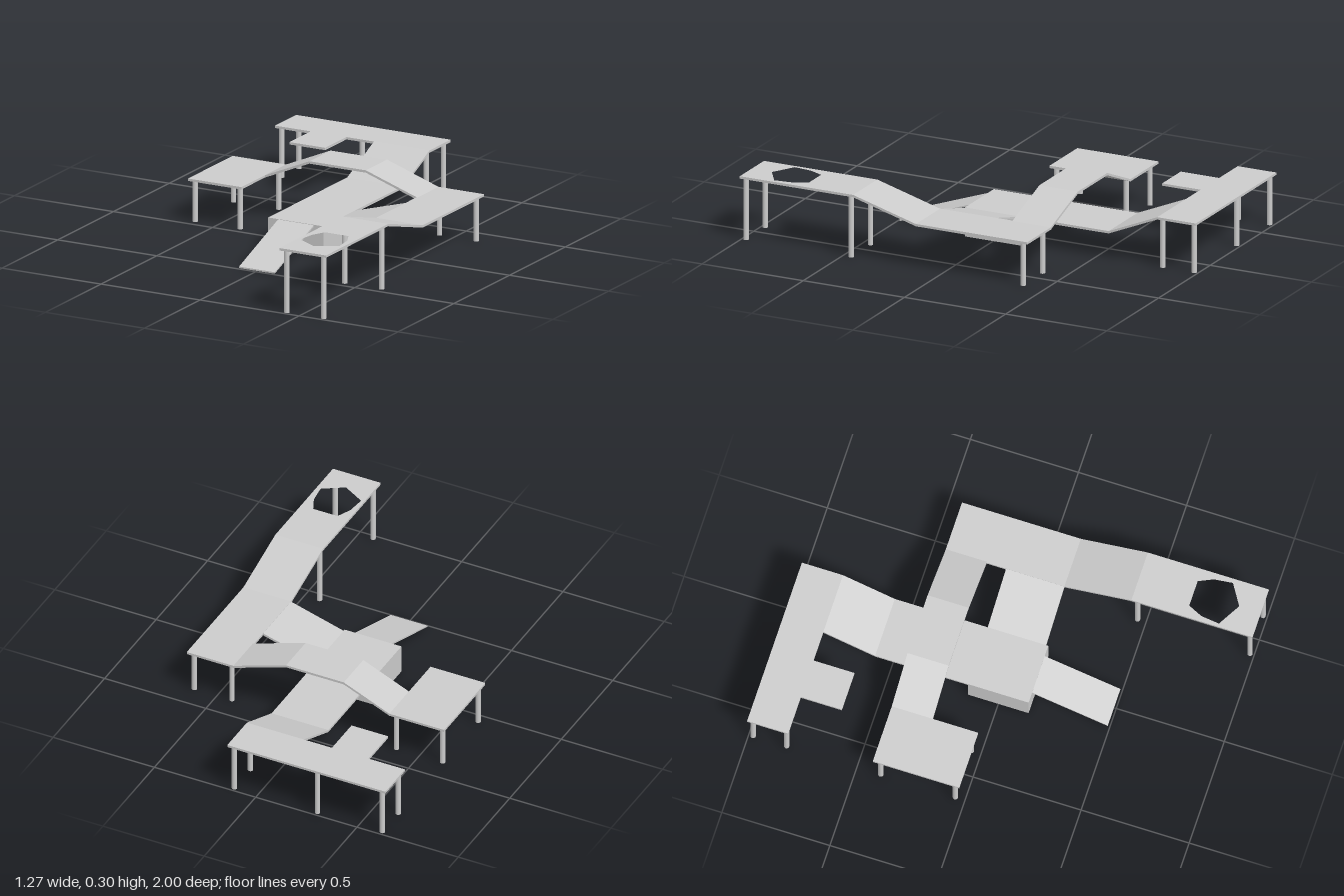
import * as THREE from 'three';

const T = 0.011; // slab thickness

export function createModel() {
  const group = new THREE.Group();
  const material = new THREE.MeshStandardMaterial({ color: 0xcccccc });

  function add(name, geometry) {
    const mesh = new THREE.Mesh(geometry, material);
    mesh.name = name;
    group.add(mesh);
    return mesh;
  }

  // Bent slab: path of [distance, top height], given thickness below it
  function stripShape(path, t) {
    const top = path.map(([s, y]) => new THREE.Vector2(s, y));
    const bottom = path.map(([s, y]) => new THREE.Vector2(s, y - t)).reverse();
    return new THREE.Shape([...bottom, ...top]);
  }
  function stripAlongX(name, path, z0, z1, t = T) {
    const g = new THREE.ExtrudeGeometry(stripShape(path, t), { depth: z1 - z0, bevelEnabled: false });
    add(name, g.translate(0, 0, z0));
  }
  function stripAlongZ(name, path, x0, x1, t = T) {
    const g = new THREE.ExtrudeGeometry(stripShape(path, t), { depth: x1 - x0, bevelEnabled: false });
    add(name, g.rotateY(-Math.PI / 2).translate(x1, 0, 0));
  }

  // Flat slab from a plan outline of [x, z], optionally with a hole
  function plate(name, outline, top, hole) {
    const toPlan = ([x, z]) => new THREE.Vector2(x, -z);
    const shape = new THREE.Shape(outline.map(toPlan));
    if (hole) shape.holes.push(new THREE.Path(hole.map(toPlan)));
    const g = new THREE.ExtrudeGeometry(shape, { depth: T, bevelEnabled: false });
    add(name, g.rotateX(-Math.PI / 2).translate(0, top - T, 0));
  }

  function legs(name, top, spots) {
    const h = top - T / 2;
    for (const [x, z] of spots) {
      add(name, new THREE.CylinderGeometry(0.012, 0.012, h, 16)).position.set(x, h / 2, z);
    }
  }

  const base = 0.135, mid = 0.21, high = 0.297, left = 0.2, back = 0.237;

  // Central block and the entry ramp in front of it
  add('centralBlock', new THREE.BoxGeometry(0.28, base, 0.28)).position.y = base / 2;
  stripAlongZ('entryRamp', [[0.135, base], [0.49, 0.008]], -0.09, 0.09, 0.007);

  // Walkway from the block to the back deck
  stripAlongZ('backWalkway', [[-0.81, back], [-0.57, base], [-0.14, base]], -0.14, 0.14);
  plate('backDeck', [
    [-0.64, -1], [0.14, -1], [0.14, -0.81], [-0.28, -0.81],
    [-0.28, -0.62], [-0.46, -0.62], [-0.46, -0.81], [-0.64, -0.81],
  ], back);
  legs('backDeckLeg', back, [
    [-0.615, -0.98], [-0.295, -0.98], [0.115, -0.98], [-0.615, -0.825], [0.115, -0.825],
  ]);

  // Ramp from the block up to the side walkway
  stripAlongX('sideRamp', [[0.14, base], [0.405, mid]], -0.14, 0.13);
  stripAlongZ('sideWalkway', [[-0.42, mid], [0.13, mid], [0.44, high]], 0.4, 0.635);

  // Raised front deck with its cut-out
  plate('frontDeck', [[0.4, 0.44], [0.635, 0.44], [0.635, 1], [0.4, 1]], high, [
    [0.455, 0.69], [0.575, 0.69], [0.605, 0.755], [0.615, 0.84],
    [0.52, 0.9], [0.415, 0.84], [0.425, 0.755],
  ]);
  legs('frontDeckLeg', high, [[0.427, 0.98], [0.613, 0.98], [0.427, 0.46], [0.613, 0.46]]);
  legs('sideWalkwayLeg', mid, [[0.427, -0.39], [0.613, -0.39]]);

  // Arched bridge to the left-hand deck
  stripAlongX('bridge', [[-0.365, left], [-0.14, high], [0.145, high], [0.405, mid]], -0.42, -0.23);
  plate('sideDeck', [[-0.635, -0.42], [-0.365, -0.42], [-0.365, -0.02], [-0.635, -0.02]], left);
  legs('sideDeckLeg', left, [[-0.613, -0.39], [-0.385, -0.39], [-0.613, -0.045], [-0.385, -0.045]]);

  return group;
}
